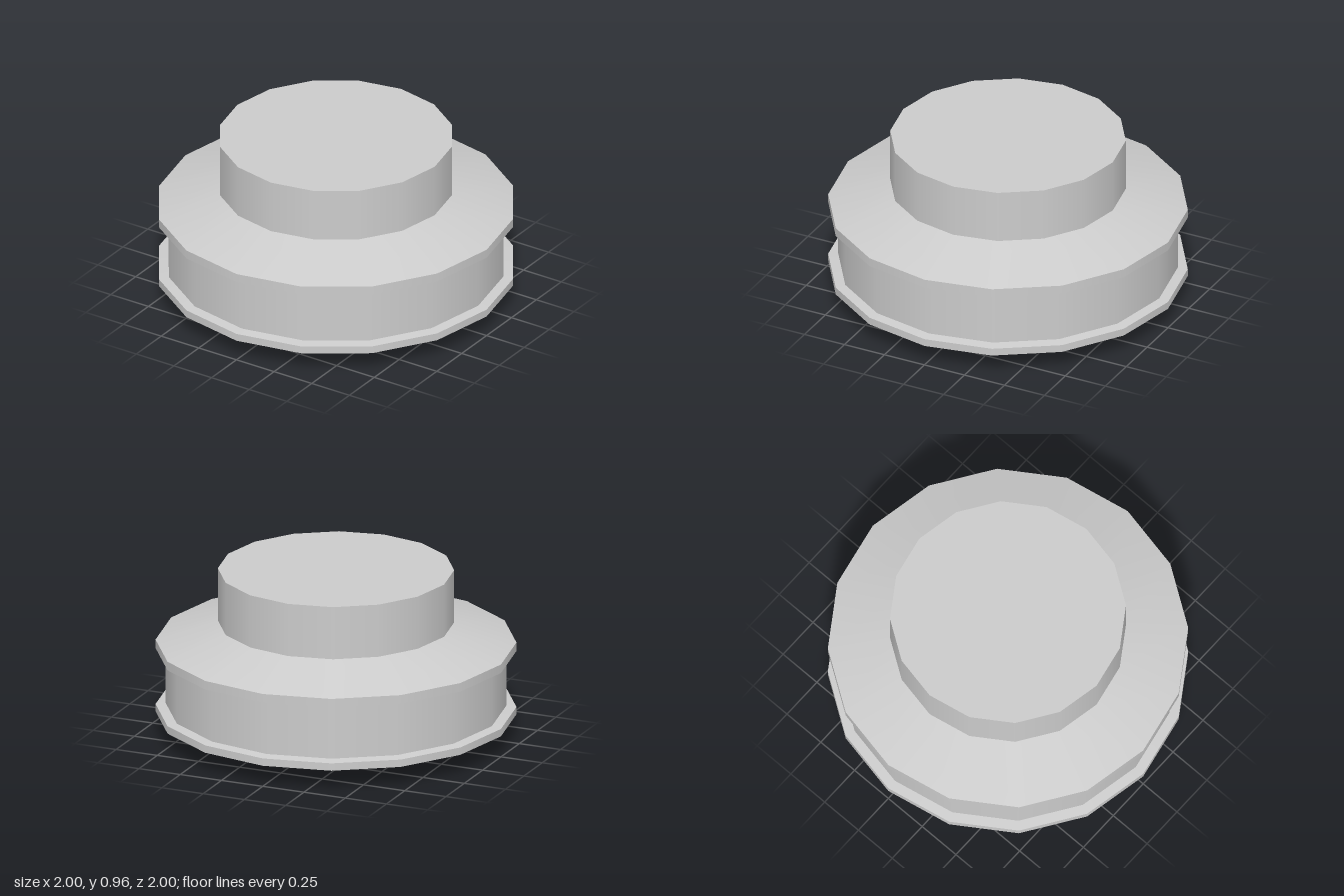
import * as THREE from 'three';
import { mergeGeometries } from 'three/addons/utils/BufferGeometryUtils.js';

const SIDES = 16;
const material = new THREE.MeshStandardMaterial({ color: 0xcccccc });

// Turns a profile (radius, height; bottom to top) smooth around, sharp between bands
function turned(name, profile) {
  const bands = [];
  for (let i = 0; i < profile.length - 1; i++) {
    const pair = [profile[i], profile[i + 1]].map(([r, y]) => new THREE.Vector2(r, y));
    bands.push(new THREE.LatheGeometry(pair, SIDES));
  }
  const mesh = new THREE.Mesh(mergeGeometries(bands), material);
  mesh.name = name;
  return mesh;
}

export function createModel() {
  const group = new THREE.Group();
  group.name = 'turnedDrum';
  group.add(
    // Small foot with a bevelled lip
    turned('foot', [[0, 0], [0.48, 0], [0.535, 0.025], [0.51, 0.04]]),
    // Shallow cone below, with a narrow groove around its rim
    turned('lowerCone', [[0.51, 0.04], [0.82, 0.142], [0.82, 0.155], [0.85, 0.155], [0.85, 0.12]]),
    turned('lowerFlange', [[0.85, 0.12], [1, 0.12], [1, 0.163], [0.945, 0.172]]),
    turned('drumWall', [[0.945, 0.172], [0.945, 0.482]]),
    turned('upperFlange', [[0.945, 0.482], [1, 0.49], [1, 0.54]]),
    turned('shoulder', [[1, 0.54], [0.655, 0.655]]),
    turned('cap', [[0.655, 0.655], [0.655, 0.96], [0, 0.96]]),
  );
  return group;
}
